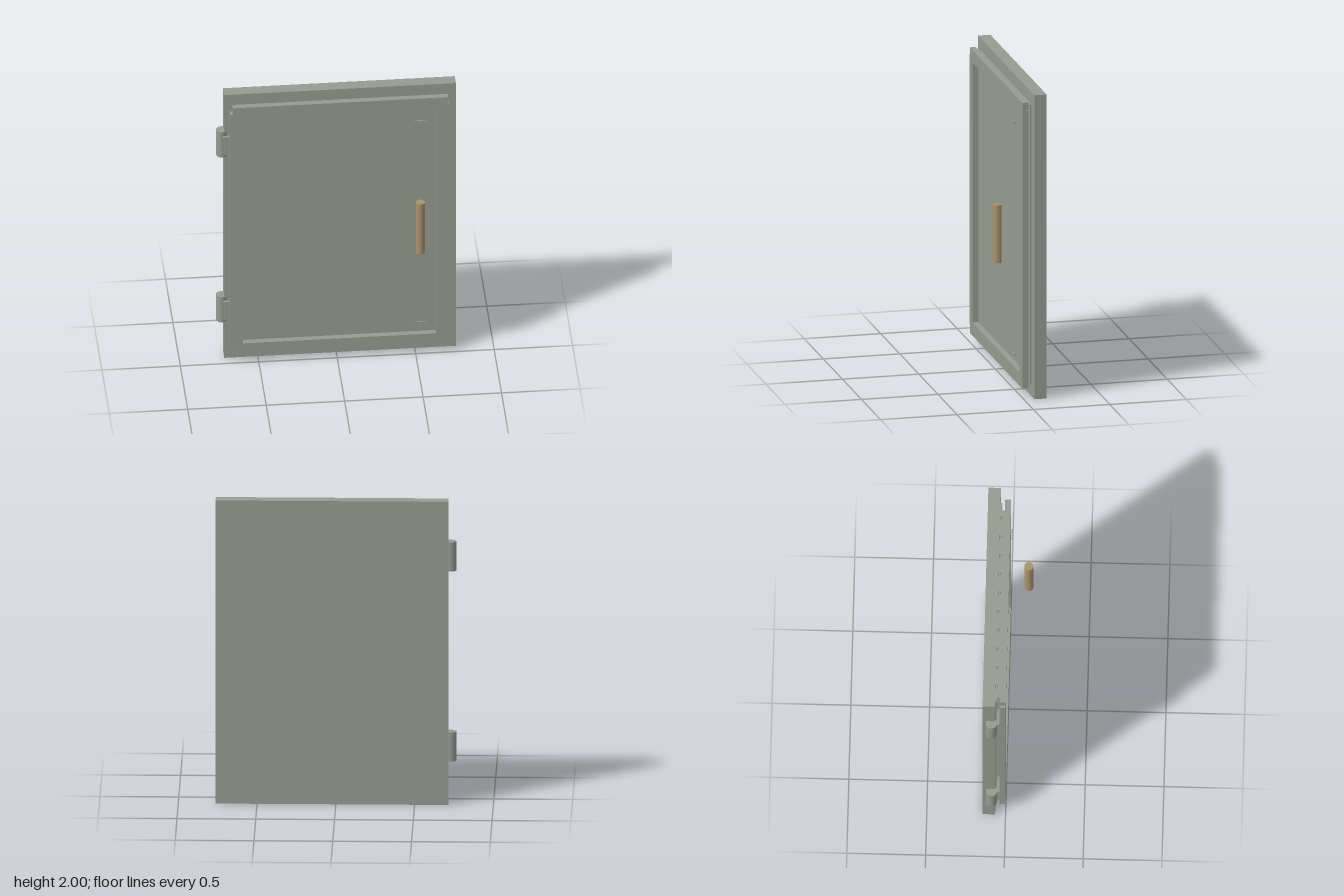
import * as THREE from 'three';

const grey = new THREE.MeshStandardMaterial({ color: 0x969c92, flatShading: true });
grey.name = 'paintedMetal';
const tan = new THREE.MeshStandardMaterial({ color: 0xa9926e, flatShading: true });
tan.name = 'handleBronze';

// Box given by its limits on each axis
function box(name, [x0, x1], [y0, y1], [z0, z1], material = grey) {
  const mesh = new THREE.Mesh(new THREE.BoxGeometry(x1 - x0, y1 - y0, z1 - z0), material);
  mesh.position.set((x0 + x1) / 2, (y0 + y1) / 2, (z0 + z1) / 2);
  mesh.name = name;
  return mesh;
}

// Upright round bar
function bar(name, radius, x, [y0, y1], z, material) {
  const mesh = new THREE.Mesh(new THREE.CylinderGeometry(radius, radius, y1 - y0, 16), material);
  mesh.position.set(x, (y0 + y1) / 2, z);
  mesh.name = name;
  return mesh;
}

// Door frame: outline with small notched corners and a rectangular opening
function doorFrame() {
  const points = [
    [-0.665, 0.06], [0.708, 0.06], [0.708, 0.115], [0.715, 0.115],
    [0.715, 1.89], [0.708, 1.89], [0.708, 1.94], [-0.665, 1.94],
    [-0.665, 1.89], [-0.682, 1.89], [-0.682, 0.115], [-0.665, 0.115],
  ];
  const shape = new THREE.Shape(points.map(([x, y]) => new THREE.Vector2(x, y)));
  const opening = [[-0.6, 0.147], [-0.6, 1.858], [0.63, 1.858], [0.63, 0.147]];
  shape.holes.push(new THREE.Path(opening.map(([x, y]) => new THREE.Vector2(x, y))));
  const geometry = new THREE.ExtrudeGeometry(shape, { depth: 0.039, bevelEnabled: false });
  const mesh = new THREE.Mesh(geometry, grey);
  mesh.position.z = -0.039;
  mesh.name = 'doorFrame';
  return mesh;
}

export function createModel() {
  const group = new THREE.Group();
  group.name = 'cabinetDoor';

  // Back slab and the two stepped layers behind the door frame
  group.add(
    box('backSlab', [-0.714, 0.763], [0, 2], [-0.146, -0.066]),
    box('sealLayer', [-0.645, 0.69], [0.08, 1.92], [-0.066, -0.054]),
    box('doorPanel', [-0.607, 0.656], [0.13, 1.875], [-0.054, -0.039]),
    doorFrame(),
  );

  // Hinges: barrel and leaf
  for (const y of [0.375, 1.63]) {
    const hinge = new THREE.Group();
    hinge.name = 'hinge';
    hinge.add(
      bar('hingeBarrel', 0.036, -0.728, [y - 0.096, y + 0.096], -0.089, grey),
      box('hingeLeaf', [-0.724, -0.62], [y - 0.067, y + 0.067], [-0.055, -0.038]),
    );
    group.add(hinge);
  }

  // Pull handle and the small plates above and below it
  group.add(bar('handle', 0.029, 0.519, [0.85, 1.23], 0.117, tan));
  for (const y of [0.244, 1.774]) {
    group.add(box('latchPlate', [0.496, 0.566], [y - 0.006, y + 0.006], [0.007, 0.014]));
  }
  return group;
}
